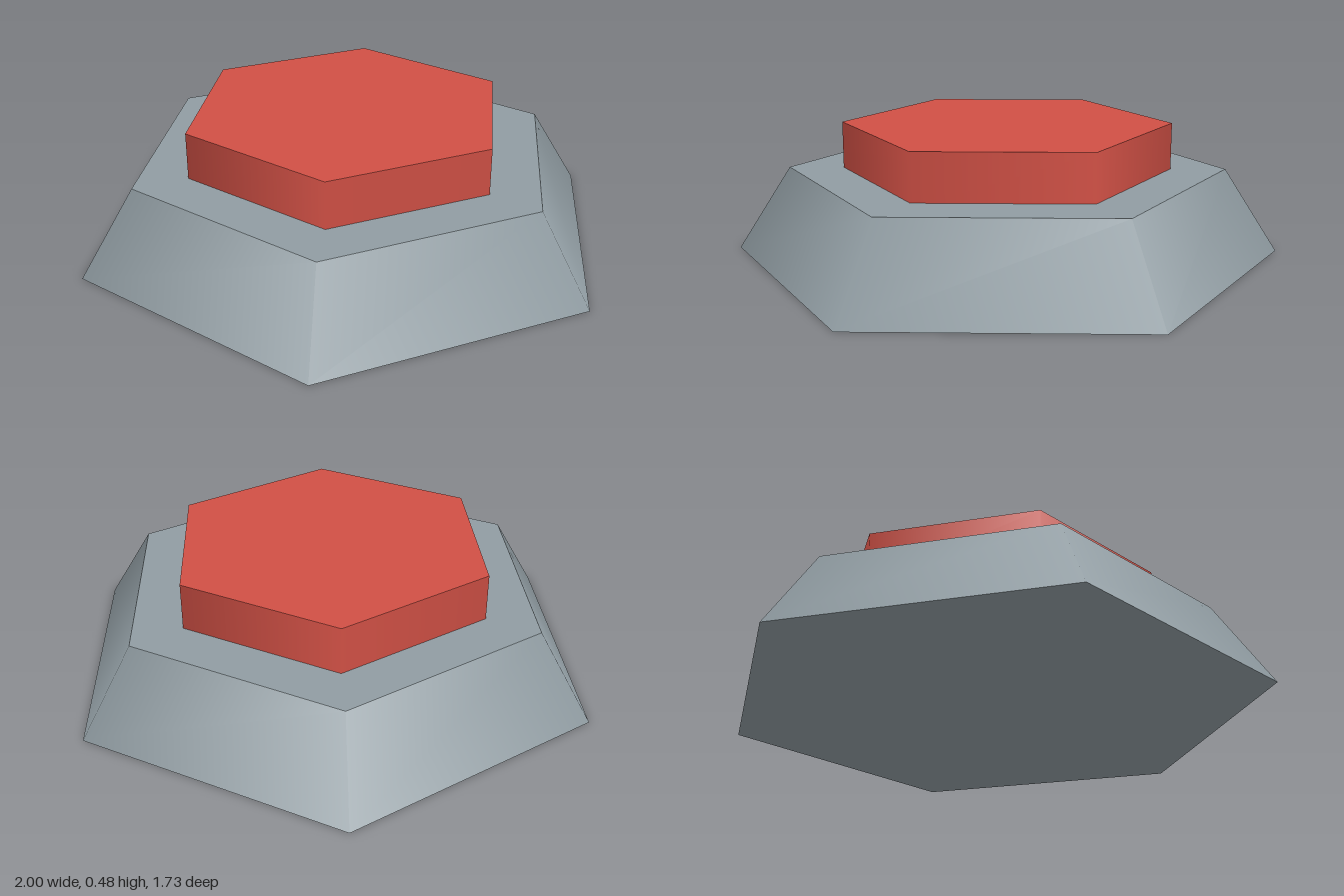
import * as THREE from 'three';

const SIDES = 6;

// Capped hexagonal prism with corners on the x axis, spanning y0 to y1.
function hexPart(name, topRadius, bottomRadius, y0, y1, material) {
  const geometry = new THREE.CylinderGeometry(
    topRadius, bottomRadius, y1 - y0, SIDES, 1, false, Math.PI / 6
  );
  const mesh = new THREE.Mesh(geometry, material);
  mesh.name = name;
  mesh.position.y = (y0 + y1) / 2;
  return mesh;
}

export function createModel() {
  const grey = new THREE.MeshStandardMaterial({ color: 0x909ca2 });
  grey.name = 'grey housing';
  const red = new THREE.MeshStandardMaterial({ color: 0xd05045 });
  red.name = 'red button';

  const model = new THREE.Group();
  model.name = 'pushButton';
  model.add(
    // Tapered housing
    hexPart('base', 0.8, 1, 0, 0.31, grey),
    // Raised push cap, seated slightly into the housing
    hexPart('button', 0.6, 0.6, 0.29, 0.48, red)
  );
  return model;
}
